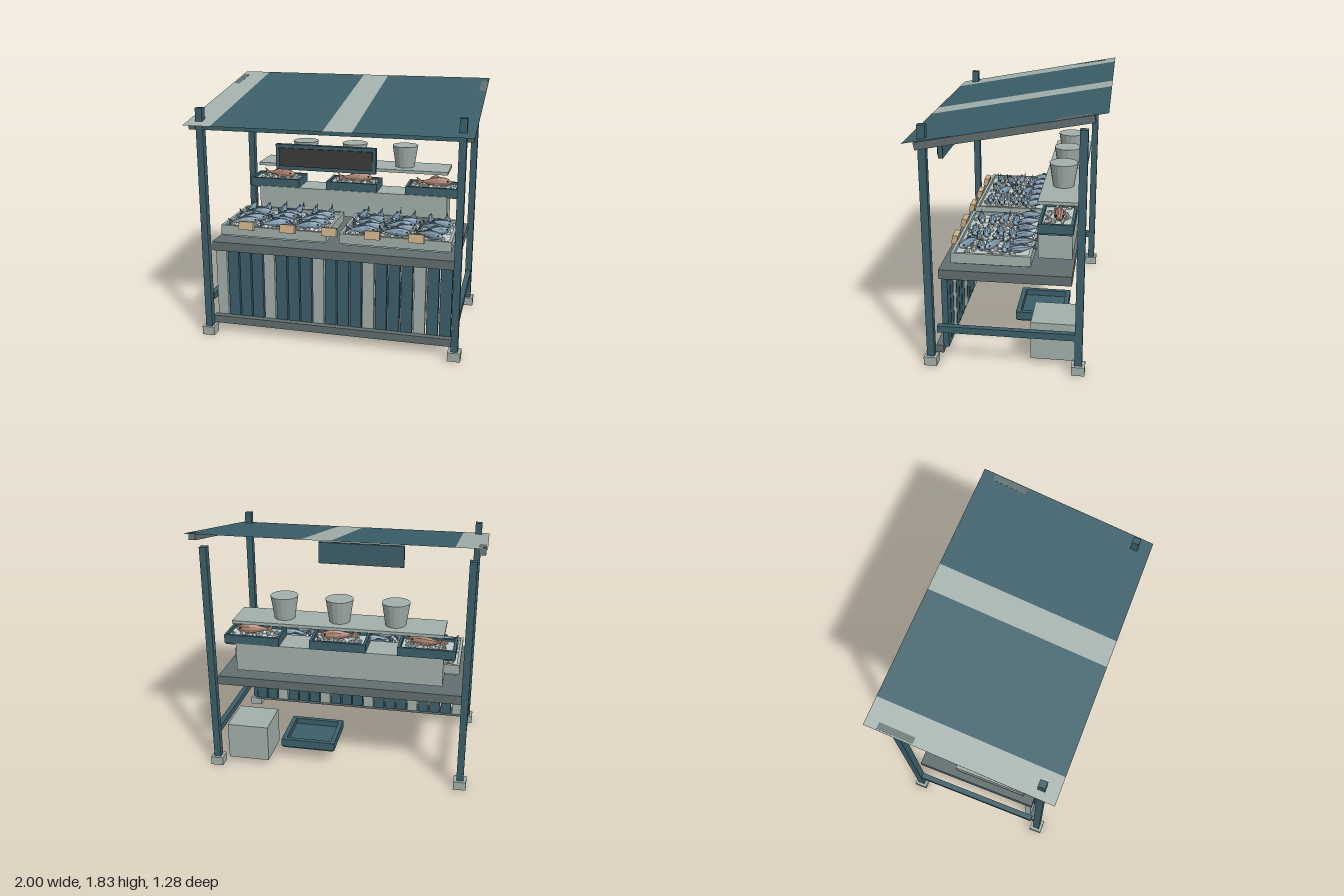
import * as THREE from 'three';

const mat = (name, color, side = THREE.FrontSide) => {
  const m = new THREE.MeshStandardMaterial({ color, side, flatShading: true });
  m.name = name;
  return m;
};
const teal = mat('teal paint', 0x3c5f69, THREE.DoubleSide);
const pale = mat('pale grey', 0xa2b0ab, THREE.DoubleSide);
const grey = mat('weathered grey', 0x616e6f);
const board = mat('blackboard', 0x393b3a);
const tan = mat('tag card', 0xc8ad86);
const ice = mat('ice', 0xbcc9c6);
const blue = mat('blue fish skin', 0x7d98ab);
const darkFin = mat('dark fin', 0x415a69, THREE.DoubleSide);
const red = mat('red fish skin', 0xa87d6b, THREE.DoubleSide);
const black = mat('eye black', 0x1d2224);

// Small seeded generator
let seed = 7;
const rand = (a, b) => {
  seed = (seed * 16807) % 2147483647;
  return a + (b - a) * (seed / 2147483647);
};

function add(parent, name, geometry, material, x = 0, y = 0, z = 0) {
  const m = new THREE.Mesh(geometry, material);
  m.name = name;
  m.position.set(x, y, z);
  parent.add(m);
  return m;
}

// Box from its min and max on each axis
function span(parent, name, material, x0, x1, y0, y1, z0, z1) {
  return add(parent, name, new THREE.BoxGeometry(x1 - x0, y1 - y0, z1 - z0), material,
    (x0 + x1) / 2, (y0 + y1) / 2, (z0 + z1) / 2);
}

// Open crate: inset base and four walls
function crate(parent, name, material, x0, x1, y0, y1, z0, z1, inset, t) {
  const g = new THREE.Group();
  g.name = name;
  parent.add(g);
  const yw = y0 + 0.013;
  span(g, 'crateBase', material, x0 + inset, x1 - inset, y0, y0 + 0.03, z0 + 0.01, z1 - 0.01);
  span(g, 'crateWallFront', material, x0, x1, yw, y1, z1 - t, z1);
  span(g, 'crateWallBack', material, x0, x1, yw, y1, z0, z0 + t);
  span(g, 'crateWallLeft', material, x1 - t, x1, yw, y1, z0 + t, z1 - t);
  span(g, 'crateWallRight', material, x0, x0 + t, yw, y1, z0 + t, z1 - t);
  return g;
}

// Bed of ice with loose lumps on top
const lump = new THREE.IcosahedronGeometry(1, 0);
function iceBed(parent, x0, x1, y0, y1, z0, z1, count, size) {
  span(parent, 'iceBed', ice, x0, x1, y0, y1, z0, z1);
  for (let i = 0; i < count; i++) {
    const s = rand(0.7, 1.2) * size;
    const m = add(parent, 'iceLump', lump, ice,
      rand(x0 + s, x1 - s), y1 + rand(0, 0.008), rand(z0 + s, z1 - s));
    m.scale.set(s * 1.2, s * 0.8, s);
    m.rotation.set(rand(0, 3), rand(0, 3), rand(0, 3));
  }
}

// Fish geometry, one unit long, head towards +x
const bodyGeo = new THREE.LatheGeometry([
  [0.02, -0.36], [0.05, -0.25], [0.11, -0.05], [0.14, 0.12], [0.13, 0.27], [0.085, 0.4], [0.0, 0.5],
].map(([r, y]) => new THREE.Vector2(r, y)), 10);
bodyGeo.rotateZ(-Math.PI / 2);
bodyGeo.scale(1, 1, 0.85);
const flat = (pts) => new THREE.ShapeGeometry(new THREE.Shape(pts.map(([x, y]) => new THREE.Vector2(x, y))));
const tailGeo = flat([[-0.33, 0.02], [-0.5, 0.13], [-0.45, 0], [-0.5, -0.13], [-0.33, -0.02]]);
const dorsalGeo = flat([[-0.15, 0.07], [-0.08, 0.15], [0.06, 0.2], [0.18, 0.125]]);
const sideFinGeo = flat([[0.2, 0], [0.05, 0.02], [0.0, -0.06], [0.08, -0.07]]);
const eyeGeo = new THREE.SphereGeometry(0.026, 6, 4);

function fish(parent, name, skin, fin, length, x, y, z, yaw, pitch = 0) {
  const g = new THREE.Group();
  g.name = name;
  add(g, 'fishBody', bodyGeo, skin);
  add(g, 'fishTail', tailGeo, fin);
  add(g, 'dorsalFin', dorsalGeo, fin);
  for (const s of [1, -1]) {
    add(g, 'fishEye', eyeGeo, black, 0.37, 0.035, s * 0.077);
    add(g, 'sideFin', sideFinGeo, fin, 0, -0.02, s * 0.122).rotation.y = s * 0.15;
  }
  g.scale.setScalar(length);
  g.position.set(x, y, z);
  g.rotation.set(0, yaw, pitch);
  parent.add(g);
}

export function createModel() {
  const root = new THREE.Group();
  root.name = 'fishStall';

  // Posts, feet and side braces
  for (const s of [1, -1]) {
    const x = s * 0.917;
    for (const z of [0.526, -0.494]) {
      span(root, 'post', teal, x - 0.025, x + 0.025, 0.06, 1.71, z - 0.026, z + 0.026);
      span(root, 'foot', pale, x - 0.046, x + 0.046, 0, 0.064, z - 0.046, z + 0.046);
    }
    span(root, 'sideBrace', teal, x - 0.02, x + 0.02, 0.25, 0.298, -0.48, 0.475);
    // Sloping roof beam
    const beam = add(root, 'roofBeam', new THREE.BoxGeometry(0.046, 0.05, 1.143), grey, s * 0.968, 1.689, 0.0015);
    beam.rotation.x = Math.atan(0.19);
  }
  span(root, 'frontRoofRail', teal, -0.94, 0.94, 1.557, 1.602, 0.503, 0.548);

  // Striped roof sheet
  const slope = Math.atan2(0.234, 1.28);
  [[-1, -0.8, pale], [-0.8, 0, teal], [0, 0.2, pale], [0.2, 1, teal]].forEach(([x0, x1, m]) => {
    const geo = new THREE.PlaneGeometry(x1 - x0, Math.hypot(1.28, 0.234)).rotateX(-Math.PI / 2 + slope);
    add(root, 'roofStripe', geo, m, (x0 + x1) / 2, 1.717, 0);
  });

  // Table with slatted front
  span(root, 'tableTop', grey, -0.9, 0.9, 0.637, 0.704, -0.438, 0.461);
  span(root, 'bottomRail', grey, -0.9, 0.9, 0.073, 0.129, 0.442, 0.495);
  for (let i = 0; i < 19; i++) {
    const x = (i - 9) * 0.093;
    span(root, 'slat', i % 4 === 0 ? pale : teal, x - 0.041, x + 0.041, 0.108, 0.637, 0.408, 0.45);
  }

  // Storage under the table
  span(root, 'storageBox', pale, 0.53, 0.84, 0.04, 0.318, -0.466, -0.157);
  crate(root, 'spareTray', teal, 0.04, 0.45, 0.108, 0.182, -0.375, 0, 0.012, 0.035);

  // Riser, shelf and buckets
  span(root, 'riser', pale, -0.752, 0.752, 0.764, 0.975, -0.428, -0.196);
  span(root, 'shelf', pale, -0.752, 0.752, 1.147, 1.17, -0.475, -0.19);
  for (const x of [-0.4, 0, 0.4]) {
    add(root, 'bucket', new THREE.CylinderGeometry(0.1, 0.074, 0.166, 16), pale, x, 1.253, -0.333);
  }

  // Upper trays, each with one red fish on ice
  for (const x of [-0.63, 0, 0.63]) {
    const tray = crate(root, 'upperTray', teal, x - 0.203, x + 0.203, 0.963, 1.04, -0.437, -0.2, 0.008, 0.02);
    iceBed(tray, x - 0.18, x + 0.18, 0.985, 1.022, -0.415, -0.222, 34, 0.022);
    fish(tray, 'redFish', red, red, 0.28, x + 0.005, 1.058, -0.325, rand(-0.3, 0.3));
  }

  // Front crates full of blue fish
  for (const s of [-1, 1]) {
    const x = s * 0.452;
    const box = crate(root, 'frontCrate', pale, x - 0.404, x + 0.404, 0.727, 0.813, -0.16, 0.383, 0.025, 0.022);
    iceBed(box, x - 0.38, x + 0.38, 0.75, 0.79, -0.137, 0.36, 130, 0.025);
    for (let row = 0; row < 4; row++) {
      for (let col = 0; col < 3; col++) {
        fish(box, 'blueFish', blue, darkFin, 0.235,
          x + (col - 1) * 0.245 + (row % 2 ? 0.015 : -0.015), 0.828, 0.29 - row * 0.09,
          rand(-0.5, 0.5), rand(-0.06, 0.06));
      }
    }
    // Back row, tails raised against the riser
    for (let i = 0; i < 6; i++) {
      fish(box, 'backRowFish', blue, darkFin, 0.2, x - 0.32 + i * 0.128, 0.836, -0.09,
        -Math.PI / 2 + rand(-0.25, 0.25), -0.12);
    }
  }

  // Price tags along the front
  for (let i = 0; i < 5; i++) {
    const tag = add(root, 'priceTag', new THREE.BoxGeometry(0.11, 0.062, 0.038), tan, -0.65 + i * 0.315, 0.826, 0.396);
    tag.rotation.x = -0.2;
  }

  // Hanging sign
  span(root, 'signFrame', teal, -0.349, 0.349, 1.312, 1.487, 0.535, 0.57);
  span(root, 'signPanel', board, -0.325, 0.325, 1.337, 1.464, 0.57, 0.579);

  return root;
}
